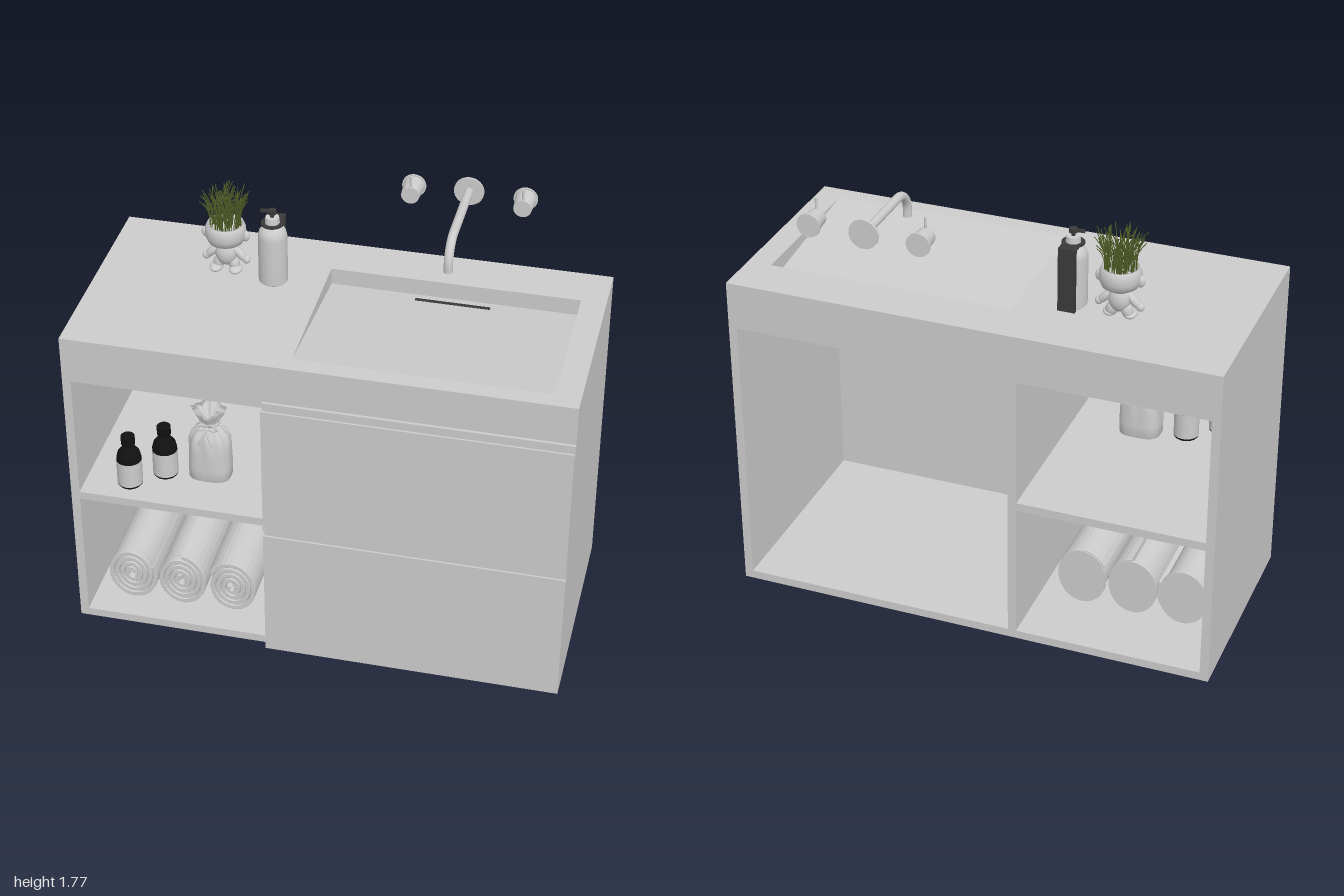
import * as THREE from 'three';
import { mergeGeometries } from 'three/addons/utils/BufferGeometryUtils.js';

const mat = (color) => new THREE.MeshStandardMaterial({ color, side: THREE.DoubleSide });
const grey = mat(0xcccccc), dark = mat(0x3a3a3a), black = mat(0x111111), green = mat(0x56652a);
const V = (x, y, z) => new THREE.Vector3(x, y, z);

function add(parent, name, geo, material = grey, x = 0, y = 0, z = 0) {
  const m = new THREE.Mesh(geo, material);
  m.name = name;
  m.position.set(x, y, z);
  parent.add(m);
  return m;
}

function group(parent, name, x, y, z) {
  const g = new THREE.Group();
  g.name = name;
  g.position.set(x, y, z);
  parent.add(g);
  return g;
}

// Box given by its limits on each axis
function panel(parent, name, x0, x1, y0, y1, z0, z1, material = grey) {
  return add(parent, name, new THREE.BoxGeometry(x1 - x0, y1 - y0, z1 - z0), material,
    (x0 + x1) / 2, (y0 + y1) / 2, (z0 + z1) / 2);
}

const lathe = (pts, seg = 32) => new THREE.LatheGeometry(pts.map(([r, y]) => new THREE.Vector2(r, y)), seg);
const cylZ = (r0, r1, len) => new THREE.CylinderGeometry(r0, r1, len, 32).rotateX(Math.PI / 2);
const shapeOf = (pts) => new THREE.Shape(pts.map(([a, b]) => new THREE.Vector2(a, b)));

// Extrudes a (z, y) profile along x
function profileX(pts, x0, x1) {
  return new THREE.ExtrudeGeometry(shapeOf(pts), { depth: x1 - x0, bevelEnabled: false })
    .rotateY(-Math.PI / 2).translate(x1, 0, 0);
}

function buildCabinet(root) {
  const g = group(root, 'cabinet', 0, 0, 0);
  const B = -0.475, F = 0.435;
  for (const s of [-1, 1]) panel(g, 'sidePanel', s < 0 ? -1 : 0.965, s < 0 ? -0.965 : 1, 0, 1.185, B, F);
  panel(g, 'bottomPanel', -0.965, 0.965, 0, 0.035, B, F);
  panel(g, 'divider', -0.2, -0.165, 0.035, 1.185, B, F);
  panel(g, 'shelf', -0.965, -0.2, 0.61, 0.645, B, F);

  // Countertop with a basin whose floor slopes up to the front
  const top = shapeOf([[-1, -F], [1, -F], [1, -B], [-1, -B]]);
  top.holes.push(new THREE.Path([[-0.1, -0.365], [-0.1, 0.28], [0.9, 0.28], [0.9, -0.365]]
    .map(([a, b]) => new THREE.Vector2(a, b))));
  add(g, 'countertop', new THREE.ExtrudeGeometry(top, { depth: 0.195, bevelEnabled: false })
    .rotateX(-Math.PI / 2), grey, 0, 1.185, 0);
  add(g, 'basinFloor', profileX([[-0.28, 1.185], [0.365, 1.185], [0.365, 1.38], [-0.28, 1.31]], -0.1, 0.9));
  const slot = panel(g, 'drainSlot', 0.25, 0.55, 1.311, 1.319, -0.242, -0.228, dark);
  slot.rotation.x = -0.108;

  // Drawer fronts with a grooved finger pull along the top
  for (const [y0, y1] of [[0.005, 0.61], [0.617, 1.215]]) {
    add(g, 'drawerFront', profileX([[F, y0], [0.475, y0], [0.475, y1 - 0.02], [0.467, y1 - 0.02],
      [0.467, y1 - 0.04], [0.447, y1 - 0.04], [0.447, y1], [F, y1]], -0.2, 1));
  }
}

function buildTap(root) {
  const g = group(root, 'wallTap', 0.41, 1.697, -0.475);
  const path = new THREE.CurvePath();
  path.add(new THREE.LineCurve3(V(0, 0, 0), V(0, 0, 0.325)));
  path.add(new THREE.CubicBezierCurve3(V(0, 0, 0.325), V(0, 0, 0.375), V(0, -0.04, 0.417), V(0, -0.09, 0.417)));
  path.add(new THREE.LineCurve3(V(0, -0.09, 0.417), V(0, -0.117, 0.417)));
  add(g, 'spout', new THREE.TubeGeometry(path, 60, 0.018, 20));
  add(g, 'spoutOutlet', new THREE.CircleGeometry(0.018, 20).rotateX(Math.PI / 2), dark, 0, -0.115, 0.417);
  add(g, 'spoutRose', cylZ(0.06, 0.06, 0.01), grey, 0, 0, 0.005);
  for (const x of [-0.22, 0.225]) {
    const h = group(g, 'tapHandle', x, -0.004, 0);
    add(h, 'handleRose', cylZ(0.048, 0.048, 0.008), grey, 0, 0, 0.004);
    add(h, 'handleBody', cylZ(0.036, 0.042, 0.08), grey, 0, 0, 0.045);
    add(h, 'handleLever', new THREE.CylinderGeometry(0.005, 0.005, 0.08, 10), grey, 0, 0.042, 0.077);
  }
}

function buildPlanter(root) {
  const g = group(root, 'figurePlanter', -0.505, 1.38, -0.185);
  const ball = (name, x, y, z, sx, sy, sz, tilt = 0) => {
    const m = add(g, name, new THREE.SphereGeometry(1, 24, 16), grey, x, y, z);
    m.scale.set(sx, sy, sz);
    m.rotation.z = tilt;
  };
  add(g, 'headPot', lathe([[0, 0.115], [0.04, 0.118], [0.07, 0.137], [0.082, 0.165], [0.081, 0.195],
    [0.073, 0.215], [0.066, 0.215], [0.066, 0.2], [0, 0.2]]));
  ball('torso', 0, 0.08, 0, 0.044, 0.055, 0.038);
  for (const s of [-1, 1]) {
    ball('ear', s * 0.08, 0.165, 0, 0.018, 0.024, 0.014);
    ball('arm', s * 0.058, 0.078, 0, 0.017, 0.042, 0.018, s * 0.75);
    ball('hand', s * 0.082, 0.056, 0, 0.016, 0.017, 0.016);
    ball('leg', s * 0.03, 0.035, 0, 0.023, 0.036, 0.024, s * 0.3);
    ball('foot', s * 0.04, 0.014, 0.012, 0.027, 0.015, 0.036);
  }

  // Grass blades leaning outward
  let seed = 7;
  const rnd = () => (seed = (seed * 16807) % 2147483647) / 2147483647;
  const blades = [];
  for (let i = 0; i < 130; i++) {
    const a = rnd() * Math.PI * 2, r = 0.062 * Math.sqrt(rnd());
    const out = r + 0.045 * rnd(), h = 0.09 + 0.085 * rnd(), b = a + (rnd() - 0.5) * 1.4;
    const curve = new THREE.QuadraticBezierCurve3(V(r * Math.cos(a), 0.195, r * Math.sin(a)),
      V(r * Math.cos(a), 0.195 + h * 0.6, r * Math.sin(a)), V(out * Math.cos(b), 0.195 + h, out * Math.sin(b)));
    blades.push(new THREE.TubeGeometry(curve, 5, 0.0019, 3));
  }
  add(g, 'grass', mergeGeometries(blades), green);
}

function buildDispenser(root) {
  const g = group(root, 'soapDispenser', -0.305, 1.38, -0.15);
  add(g, 'bottle', lathe([[0, 0], [0.052, 0], [0.058, 0.006], [0.058, 0.205], [0.053, 0.228], [0.04, 0.246],
    [0.026, 0.255], [0.026, 0.262], [0, 0.262]]));
  add(g, 'pumpCollar', new THREE.CylinderGeometry(0.027, 0.03, 0.03, 24), grey, 0, 0.275, 0);
  add(g, 'pumpStem', new THREE.CylinderGeometry(0.008, 0.008, 0.03, 12), dark, 0, 0.3, 0);
  add(g, 'pumpHead', new THREE.CylinderGeometry(0.017, 0.017, 0.016, 20), dark, 0, 0.313, 0);
  panel(g, 'nozzle', -0.046, 0, 0.309, 0.319, -0.006, 0.006, dark);
  panel(g, 'holderPlate', -0.035, 0.035, 0, 0.265, -0.074, -0.06, dark);
  panel(g, 'holderArm', -0.035, 0.035, 0.258, 0.265, -0.07, -0.02, dark);
  add(g, 'holderRing', new THREE.CylinderGeometry(0.045, 0.045, 0.007, 28), dark, 0, 0.262, 0);
}

function buildBottles(root) {
  for (const [x, z] of [[-0.785, 0.33], [-0.665, 0.235]]) {
    const g = group(root, 'darkBottle', x, 0.645, z);
    add(g, 'bottleGlass', lathe([[0, 0], [0.046, 0], [0.05, 0.005], [0.05, 0.13], [0.044, 0.155], [0.027, 0.177],
      [0.022, 0.19], [0.022, 0.197], [0.028, 0.198], [0.028, 0.233], [0.025, 0.236], [0, 0.236]]), black);
    add(g, 'label', new THREE.CylinderGeometry(0.0512, 0.0512, 0.11, 32, 1, true), grey, 0, 0.066, 0);
  }
}

function buildSack(root) {
  const g = group(root, 'tiedSack', -0.485, 0.645, 0.2);
  const geo = lathe([[0, 0], [0.07, 0], [0.09, 0.008], [0.091, 0.06], [0.088, 0.13], [0.085, 0.18], [0.07, 0.215],
    [0.042, 0.245], [0.034, 0.258], [0.04, 0.275], [0.058, 0.305], [0.068, 0.33], [0.05, 0.318], [0.02, 0.275]], 64);
  // Gathered folds near the neck, squarer towards the base
  const p = geo.attributes.position;
  for (let i = 0; i < p.count; i++) {
    const x = p.getX(i), y = p.getY(i), z = p.getZ(i), a = Math.atan2(z, x);
    const fold = THREE.MathUtils.smoothstep(y, 0.1, 0.26);
    const k = 1 + 0.1 * fold * Math.sin(a * 9) - (1 - fold) * 0.06 * Math.cos(4 * a);
    p.setXYZ(i, x * k, y + (y > 0.3 ? 0.012 * Math.sin(a * 3) : 0), z * k * 0.8);
  }
  geo.computeVertexNormals();
  add(g, 'sackCloth', geo);
  add(g, 'tie', new THREE.TorusGeometry(0.036, 0.006, 8, 32).rotateX(Math.PI / 2).scale(1, 1, 0.85), grey, 0, 0.258, 0);
  for (const s of [-1, 1]) {
    const loop = new THREE.CatmullRomCurve3([V(0, 0.257, 0.036), V(s * 0.025, 0.275, 0.05),
      V(s * 0.045, 0.262, 0.052), V(s * 0.025, 0.25, 0.05)], true);
    add(g, 'bowLoop', new THREE.TubeGeometry(loop, 30, 0.004, 6, true));
    const tail = new THREE.QuadraticBezierCurve3(V(0, 0.257, 0.036), V(s * 0.01, 0.23, 0.075), V(s * 0.03, 0.19, 0.074));
    add(g, 'bowTail', new THREE.TubeGeometry(tail, 12, 0.004, 6));
  }
}

function buildTowels(root) {
  // Spiral ribbon cross-section, extruded along the roll
  const turns = 4, n = 120, inner = [], outer = [];
  for (let i = 0; i <= n; i++) {
    const t = i / n, a = t * turns * Math.PI * 2, r = 0.012 + 0.084 * t;
    outer.push([(r + 0.007) * Math.cos(a), (r + 0.007) * Math.sin(a)]);
    inner.push([(r - 0.007) * Math.cos(a), (r - 0.007) * Math.sin(a)]);
  }
  const spiral = new THREE.ExtrudeGeometry(shapeOf([...outer, ...inner.reverse()]), {
    depth: 0.51, bevelEnabled: true, bevelSize: 0.002, bevelThickness: 0.006, bevelSegments: 2, steps: 1 });
  [[-0.805, 0.4], [-0.595, 1.5], [-0.38, 2.6]].forEach(([x, turn]) => {
    const g = group(root, 'rolledTowel', x, 0.165, -0.19);
    g.scale.set(1.05, 1.25, 1);
    add(g, 'towelSpiral', spiral).rotation.z = turn;
    add(g, 'towelCore', cylZ(0.088, 0.088, 0.485), grey, 0, 0, 0.245);
    add(g, 'towelBackEnd', cylZ(0.097, 0.097, 0.01), grey, 0, 0, -0.006);
  });
}

export function createModel() {
  const root = new THREE.Group();
  root.name = 'bathroomVanity';
  [buildCabinet, buildTap, buildPlanter, buildDispenser, buildBottles, buildSack, buildTowels].forEach((f) => f(root));
  return root;
}
